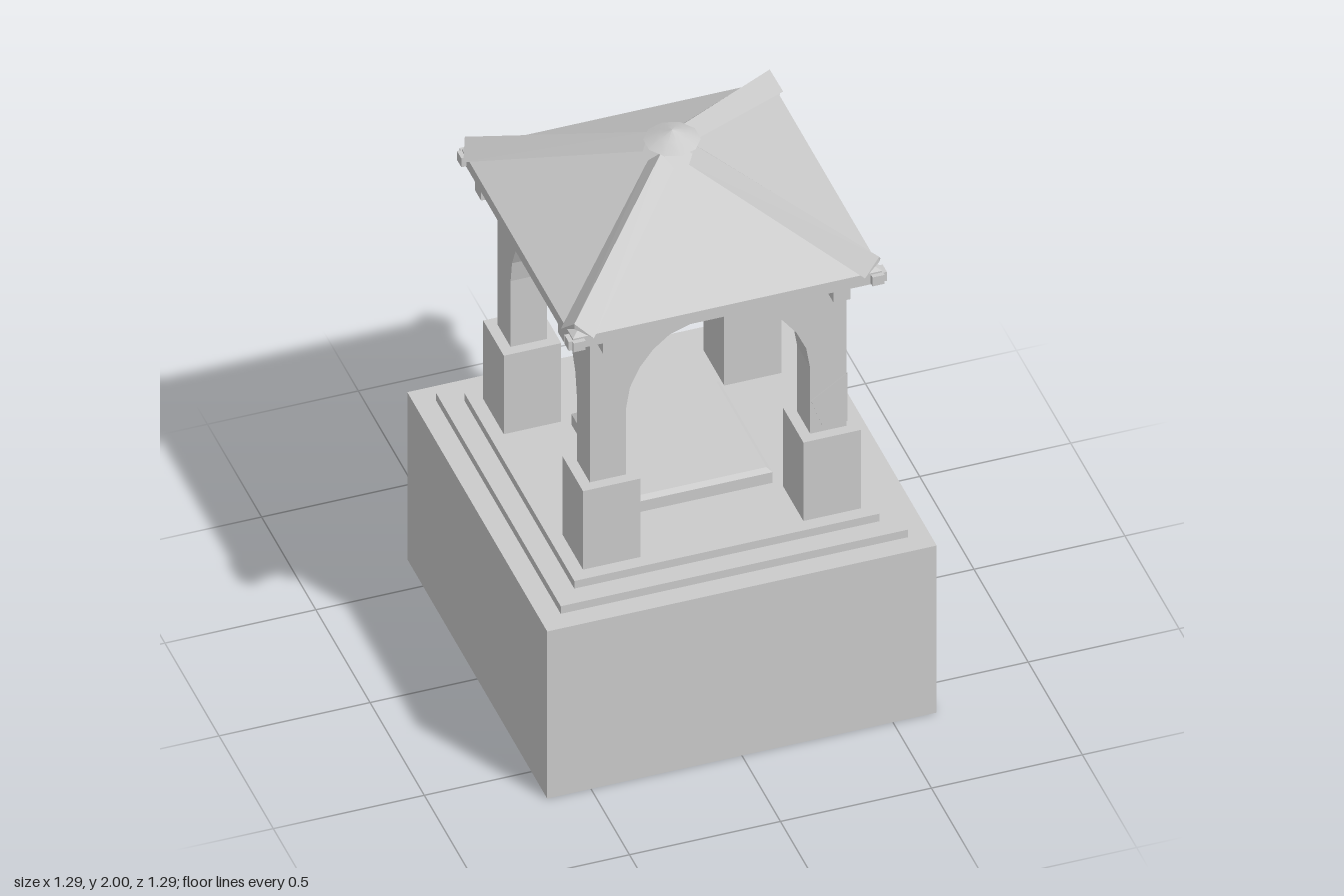
import * as THREE from 'three';

const solid = new THREE.MeshStandardMaterial({ color: 0xcccccc, flatShading: true });
const thin = new THREE.MeshStandardMaterial({ color: 0xcccccc, flatShading: true, side: THREE.DoubleSide });
const smooth = new THREE.MeshStandardMaterial({ color: 0xcccccc });

export function createModel() {
  const model = new THREE.Group();

  const add = (name, geometry, material = solid, parent = model) => {
    const mesh = new THREE.Mesh(geometry, material);
    mesh.name = name;
    parent.add(mesh);
    return mesh;
  };
  // Box given by its limits on each axis
  const box = (name, x0, x1, y0, y1, z0, z1, parent) =>
    add(name, new THREE.BoxGeometry(x1 - x0, y1 - y0, z1 - z0), solid, parent)
      .position.set((x0 + x1) / 2, (y0 + y1) / 2, (z0 + z1) / 2);
  // Square stepped shell from [half width, height] pairs
  const squareLathe = (profile) => {
    const points = profile.map(([h, y]) => new THREE.Vector2(h * Math.SQRT2, y));
    const g = new THREE.LatheGeometry(points, 4).rotateY(Math.PI / 4).toNonIndexed();
    g.computeVertexNormals();
    return g;
  };

  // Hollow plinth with two steps, open underneath
  add('steppedBase', squareLathe([
    [0.645, 0], [0.645, 0.66], [0.575, 0.66], [0.575, 0.69], [0.505, 0.69], [0.505, 0.72], [0, 0.72],
  ]), thin);
  add('floorSlab', squareLathe([[0.245, 0.72], [0.245, 0.762], [0.23, 0.775], [0, 0.775]]), thin);

  // Pedestals and posts at the four corners
  for (const sx of [-1, 1]) for (const sz of [-1, 1]) {
    const corner = new THREE.Group();
    corner.name = 'cornerPost';
    corner.position.set(sx * 0.365, 0, sz * 0.365);
    model.add(corner);
    box('pedestal', -0.095, 0.095, 0.72, 1.03, -0.095, 0.095, corner);
    box('post', -0.06, 0.06, 1.03, 1.68, -0.06, 0.06, corner);
  }

  // Arch panel between two posts
  const half = [[0.305, 1.29], [0.292, 1.37], [0.26, 1.44], [0.215, 1.5], [0.16, 1.545], [0.085, 1.57]];
  const curve = [...half, [0, 1.585], ...half.map(([x, y]) => [-x, y]).reverse()];
  const archShape = new THREE.Shape(
    [[-0.305, 1.68], ...curve.slice().reverse(), [0.305, 1.68]].map(([x, y]) => new THREE.Vector2(x, y)));
  const arch = new THREE.ExtrudeGeometry(archShape, { depth: 0.12, bevelEnabled: false }).translate(0, 0, 0.305);

  // Folded hip cap: a chevron section swept from the eave to the top, lying along +z
  const section = (d, ridgeD, w, low, top) => [[-w, low, d], [0, top, ridgeD], [w, low, d], [0, top - 0.02, ridgeD]];
  const outer = section(0.692, 0.714, 0.057, 1.682, 1.735);
  const inner = section(0.08, 0.08, 0.045, 1.92, 1.965);
  const index = [];
  for (let i = 0; i < 4; i++) {
    const j = (i + 1) % 4;
    index.push(i, j, 4 + i, j, 4 + j, 4 + i);
  }
  index.push(0, 3, 1, 1, 3, 2);
  const indexed = new THREE.BufferGeometry();
  indexed.setAttribute('position', new THREE.Float32BufferAttribute([...outer, ...inner].flat(), 3));
  indexed.setIndex(index);
  const hip = indexed.toNonIndexed();
  hip.computeVertexNormals();

  // Everything that repeats on each of the four sides
  for (let k = 0; k < 4; k++) {
    const side = new THREE.Group();
    side.name = 'side';
    side.rotation.y = k * Math.PI / 2;
    model.add(side);
    add('archPanel', arch, solid, side);
    for (const s of [-1, 1]) {
      box('bracket', s * 0.382 - 0.028, s * 0.382 + 0.028, 1.593, 1.638, 0.42, 0.505, side);
    }
    box('eaveBeam', -0.51, 0.51, 1.638, 1.675, 0.47, 0.51, side);
    for (const s of [-1, 1]) {
      box('beamEnd', s * 0.517 - 0.01, s * 0.517 + 0.01, 1.642, 1.677, 0.475, 0.515, side);
    }
    add('hipCap', hip, thin, side).rotation.y = Math.PI / 4;
  }

  // Pyramid roof, open beneath
  add('roof', squareLathe([[0.512, 1.675], [0.512, 1.683], [0, 1.955]]), thin);

  // Cap on the roof top
  const cap = [[0, 1.94], [0.06, 1.943], [0.09, 1.963]].map(([r, y]) => new THREE.Vector2(r, y));
  add('finialUnderside', new THREE.LatheGeometry(cap, 10), thin);
  const capTop = [[0.09, 1.963], [0.045, 1.983], [0, 2]].map(([r, y]) => new THREE.Vector2(r, y));
  add('finialTop', new THREE.LatheGeometry(capTop, 10), smooth);

  // Cracked piece of facing around one post corner
  const crack = new THREE.Shape(
    [[0.307, 1.16], [0.345, 1.05], [0.427, 1.05], [0.427, 1.24]].map(([x, y]) => new THREE.Vector2(x, y)));
  const flake = new THREE.ExtrudeGeometry(crack, { depth: 0.004, bevelEnabled: false });
  add('crackedFacingFront', flake).position.z = 0.424;
  const sideFlake = add('crackedFacingSide', flake, thin);
  sideFlake.rotation.y = -Math.PI / 2;
  sideFlake.position.x = 0.428;

  return model;
}
